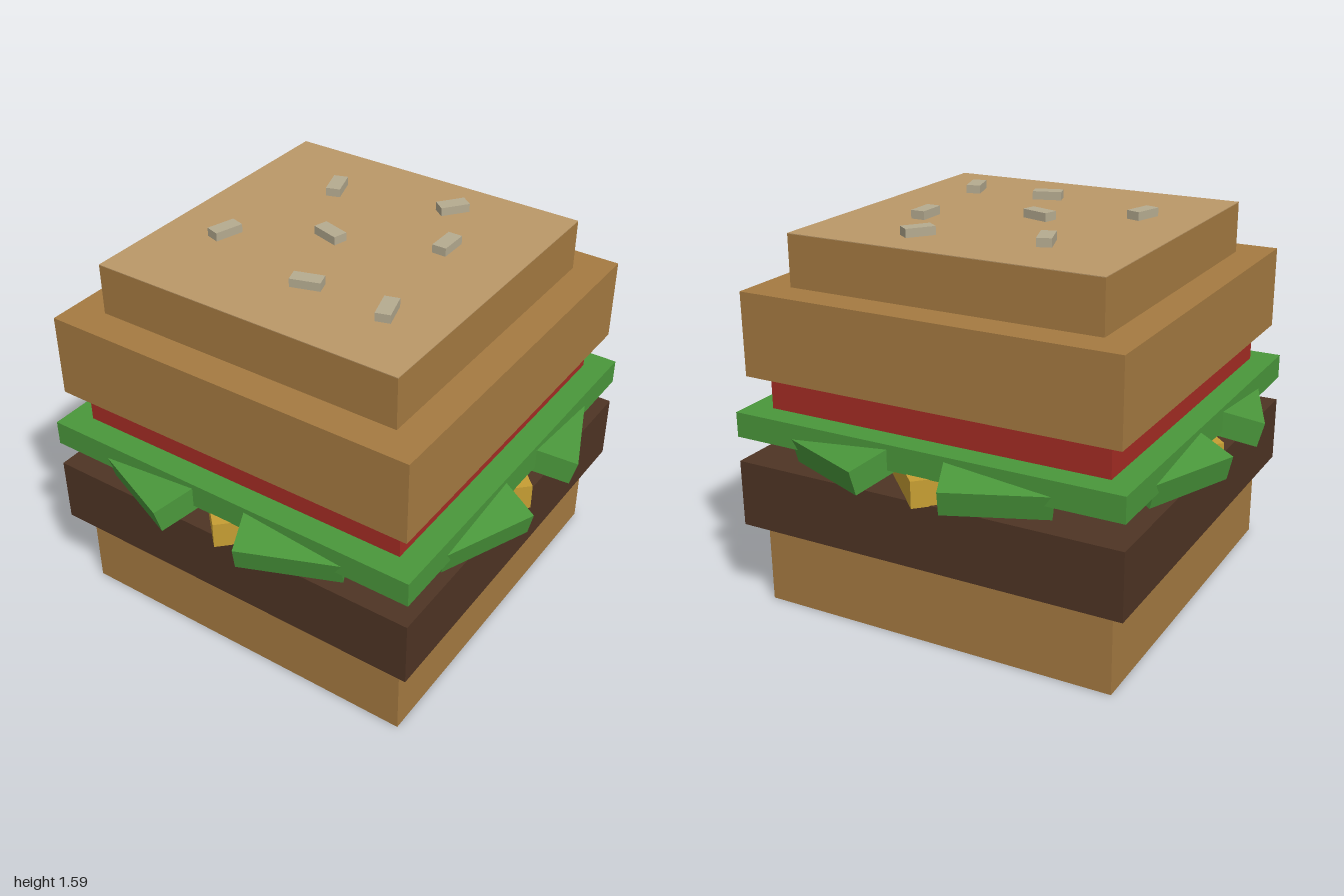
import * as THREE from 'three';

const paint = (name, color) => {
  const m = new THREE.MeshStandardMaterial({ color });
  m.name = name;
  return m;
};

export function createModel() {
  const bun = paint('bun brown', 0xa57a41);
  const crust = paint('pale crust', 0xbb9868);
  const meat = paint('patty brown', 0x4e3424);
  const yellow = paint('cheese yellow', 0xc69e33);
  const green = paint('lettuce green', 0x4a973b);
  const red = paint('tomato red', 0xa42c24);
  const cream = paint('sesame cream', 0xb5ab90);

  const burger = new THREE.Group();
  burger.name = 'burger';

  const add = (name, geometry, material, parent = burger) => {
    const mesh = new THREE.Mesh(geometry, material);
    mesh.name = name;
    parent.add(mesh);
    return mesh;
  };
  // Square layer between two heights
  const layer = (name, size, y0, y1, material) => {
    const mesh = add(name, new THREE.BoxGeometry(size, y1 - y0, size), material);
    mesh.position.y = (y0 + y1) / 2;
    return mesh;
  };

  // Stacked layers, bottom to top
  layer('bottomBun', 1.545, 0, 0.355, bun);
  layer('patty', 1.68, 0.355, 0.635, meat);
  layer('cheese', 0.89 * Math.SQRT2, 0.632, 0.742, yellow).rotation.y = Math.PI / 4;
  layer('lettuce', 1.68, 0.74, 0.845, green);
  layer('tomato', 1.475, 0.84, 0.99, red);
  layer('topBun', 1.61, 0.99, 1.335, bun);
  layer('bunCap', 1.335, 1.335, 1.547, bun);
  layer('capCrust', 1.335, 1.547, 1.55, crust);

  // Drooping lettuce leaves, one pair per side, hinged at the outer upper corner
  const w = 0.41, h = 0.105, d = 0.24;
  for (let k = 0; k < 4; k++) {
    const pair = new THREE.Group();
    pair.name = 'leafPair';
    pair.rotation.y = k * Math.PI / 2;
    burger.add(pair);
    for (const [s, x] of [[1, 0.178], [-1, -0.197]]) {
      const geometry = new THREE.BoxGeometry(w, h, d).translate(s * w / 2, -h / 2, -d / 2);
      const leaf = add('lettuceLeaf', geometry, green, pair);
      leaf.position.set(x, 0.78, 0.995);
      leaf.rotation.set(0.26, s * 0.39, 0, 'YXZ');
    }
  }

  // Sesame seeds: x, z, turn
  const seeds = [
    [-0.28, -0.35, -1.25], [0.21, -0.46, 0.92], [0.35, -0.18, 1.57], [-0.07, 0, -0.28],
    [-0.425, 0.21, 1.28], [0.07, 0.35, 0.3], [0.42, 0.35, -1.28],
  ];
  const seedGeometry = new THREE.BoxGeometry(0.122, 0.04, 0.06);
  for (const [x, z, turn] of seeds) {
    const seed = add('sesameSeed', seedGeometry, cream);
    seed.position.set(x, 1.565, z);
    seed.rotation.y = turn;
  }
  return burger;
}
